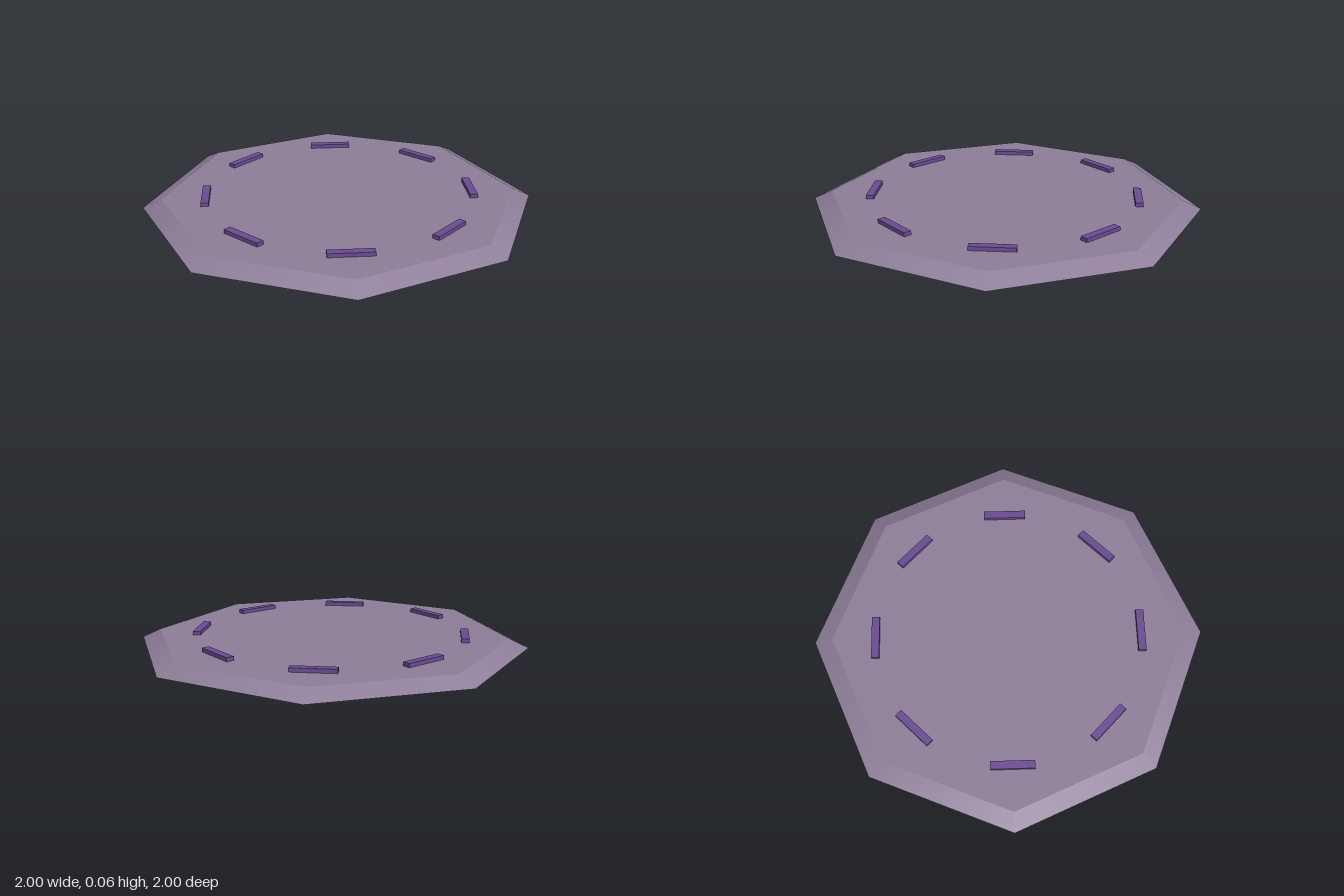
import * as THREE from 'three';

const SIDES = 8;
const SLAB_HEIGHT = 0.045;
const BAR_RADIUS = 0.68;

export function createModel() {
  const model = new THREE.Group();
  model.name = 'octagonalPlatform';

  // Bevelled eight-sided slab with smoothly shaded sloping sides
  const slab = new THREE.Mesh(
    new THREE.CylinderGeometry(0.905, 1, SLAB_HEIGHT, SIDES),
    new THREE.MeshStandardMaterial({ color: 0x8f7f9b })
  );
  slab.name = 'slab';
  slab.position.y = SLAB_HEIGHT / 2;
  model.add(slab);

  // Ring of raised bars, each lying across its radius
  const bars = new THREE.Group();
  bars.name = 'barRing';
  const barGeometry = new THREE.BoxGeometry(0.22, 0.04, 0.04);
  const barMaterial = new THREE.MeshStandardMaterial({ color: 0x6a4c93 });
  for (let i = 0; i < SIDES; i++) {
    const angle = (i / SIDES) * Math.PI * 2;
    const bar = new THREE.Mesh(barGeometry, barMaterial);
    bar.name = `bar${i + 1}`;
    bar.position.set(Math.sin(angle) * BAR_RADIUS, SLAB_HEIGHT, Math.cos(angle) * BAR_RADIUS);
    bar.rotation.y = angle;
    bars.add(bar);
  }
  model.add(bars);

  return model;
}
